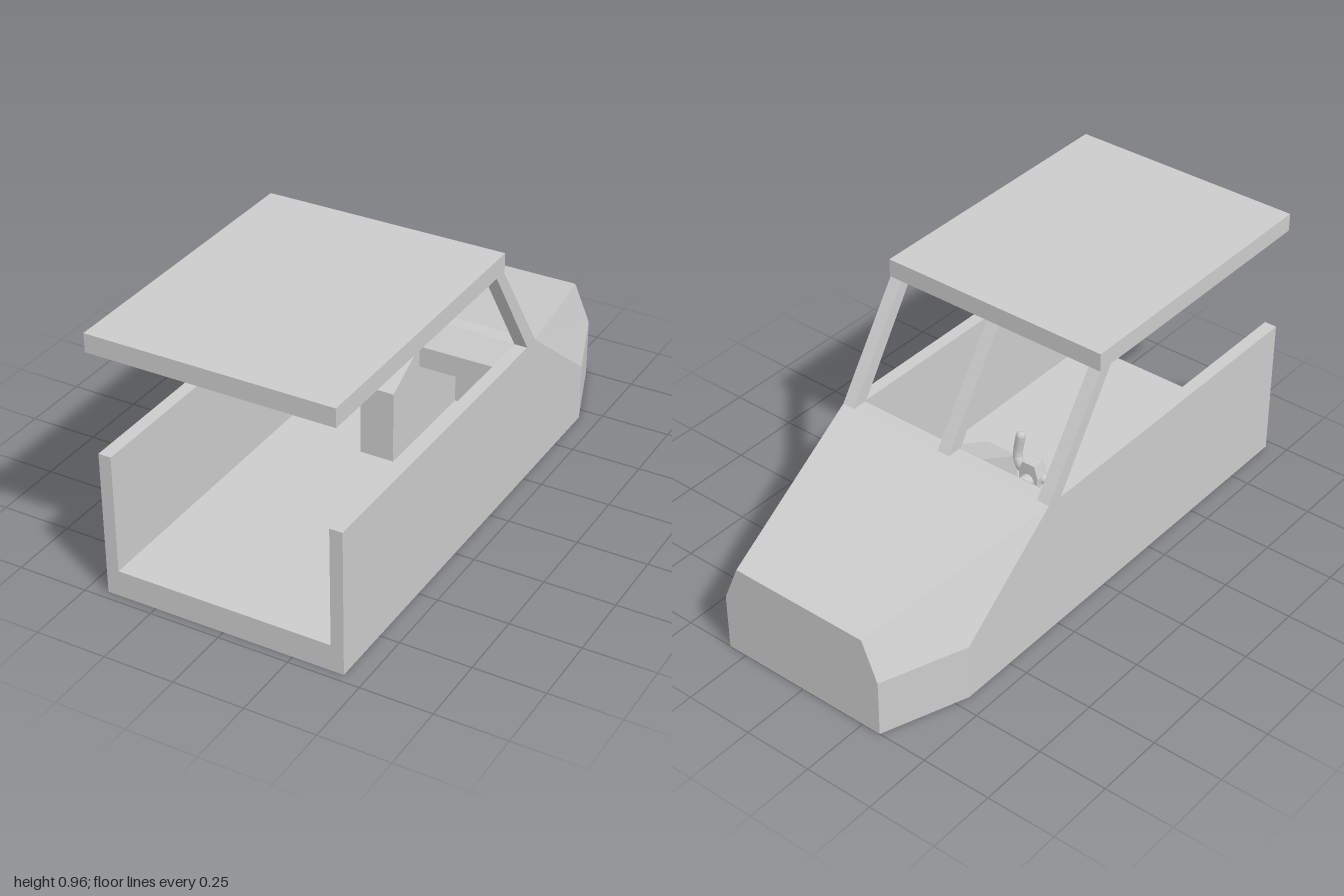
import * as THREE from 'three';

const grey = new THREE.MeshStandardMaterial({ color: 0xcccccc, flatShading: true });
const shellGrey = new THREE.MeshStandardMaterial({ color: 0xcccccc, flatShading: true, side: THREE.DoubleSide });
const smoothGrey = new THREE.MeshStandardMaterial({ color: 0xcccccc });

const W = 0.43;      // half width of the body
const IN = 0.385;    // half width between the side walls
const FLOOR = 0.095; // top of the floor
const RAIL = 0.52;   // top of the side walls

export function createModel() {
  const group = new THREE.Group();

  const add = (name, geometry, material = grey) => {
    const mesh = new THREE.Mesh(geometry, material);
    mesh.name = name;
    group.add(mesh);
    return mesh;
  };

  // Side profile of [z, y] points, extruded from x0 to x1
  const prism = (name, points, x0, x1) => {
    const shape = new THREE.Shape(points.map(([z, y]) => new THREE.Vector2(z, y)));
    const geo = new THREE.ExtrudeGeometry(shape, { depth: x1 - x0, bevelEnabled: false });
    geo.rotateY(-Math.PI / 2).translate(x1, 0, 0);
    return add(name, geo);
  };

  // Flat convex panel through the given corners
  const panel = (name, corners) => {
    const index = [];
    for (let i = 1; i < corners.length - 1; i++) index.push(0, i, i + 1);
    const geo = new THREE.BufferGeometry();
    geo.setAttribute('position', new THREE.Float32BufferAttribute(corners.flat(), 3));
    geo.setIndex(index);
    geo.computeVertexNormals();
    return add(name, geo, shellGrey);
  };

  // Floor slab, tapered at the nose
  const plan = new THREE.Shape([[-W, -0.97], [W, -0.97], [W, 0.7], [0.32, 1], [-0.32, 1], [-W, 0.7]]
    .map(([x, y]) => new THREE.Vector2(x, y)));
  const floor = new THREE.ExtrudeGeometry(plan, { depth: FLOOR, bevelEnabled: false });
  add('floor', floor.rotateX(-Math.PI / 2));

  // Side walls
  const wall = [[0.97, FLOOR], [0.97, RAIL], [-0.305, RAIL], [-0.7, 0.21], [-0.7, FLOOR]];
  prism('leftWall', wall, IN, W);
  prism('rightWall', wall, -W, -IN);

  // Nose: sloping hood, bevelled cheeks and blunt end
  const A = [W, RAIL, -0.305], B = [W, 0.21, -0.7], B0 = [W, FLOOR, -0.7];
  const C = [0.32, 0.21, -1], C0 = [0.32, FLOOR, -1], D = [0.26, 0.352, -1];
  const flip = ([x, y, z]) => [-x, y, z];
  panel('hood', [A, D, flip(D), flip(A)]);
  panel('noseEnd', [C0, flip(C0), flip(C), flip(D), D, C]);
  panel('leftUpperCheek', [A, B, C, D]);
  panel('leftLowerCheek', [B, B0, C0, C]);
  panel('rightUpperCheek', [A, D, C, B].map(flip));
  panel('rightLowerCheek', [B, C, C0, B0].map(flip));

  // Dashboard with footwell beneath
  prism('dashboard', [[-0.305, RAIL], [-0.25, RAIL], [-0.18, 0.453], [-0.18, 0.375],
    [-0.45, 0.235], [-0.45, FLOOR], [-0.5, FLOOR], [-0.5, 0.45]], -IN, IN);

  // Centre console rising from the floor to the dashboard
  prism('console', [[0, FLOOR], [0, 0.36], [-0.18, 0.453], [-0.2, 0.453], [-0.46, 0.3], [-0.46, FLOOR]],
    -0.063, 0.063);

  // Roof and its three raked pillars
  const roof = add('roof', new THREE.BoxGeometry(2 * W, 0.065, 1.055));
  roof.position.set(0, 0.9275, 0.4725);
  const rake = [[0, 0.895], [-0.05, 0.895], [-0.305, RAIL], [-0.245, RAIL]];
  prism('leftPillar', rake, 0.383, W);
  prism('centrePillar', rake, -0.024, 0.024);
  prism('rightPillar', rake, -W, -0.383);

  // Steering yoke on the right-hand side
  const yoke = new THREE.Group();
  yoke.name = 'steeringYoke';
  yoke.position.set(-0.222, 0, 0);
  group.add(yoke);

  const hubShape = new THREE.Shape([[-0.037, 0.412], [0.037, 0.412], [0.038, 0.445], [0.024, 0.488],
    [-0.024, 0.488], [-0.038, 0.445]].map(([x, y]) => new THREE.Vector2(x, y)));
  const hub = new THREE.Mesh(new THREE.ExtrudeGeometry(hubShape,
    { depth: 0.035, bevelEnabled: true, bevelSize: 0.003, bevelThickness: 0.006, bevelSegments: 1 }), grey);
  hub.name = 'yokeHub';
  hub.position.z = -0.14;
  yoke.add(hub);

  const column = new THREE.Mesh(new THREE.CylinderGeometry(0.022, 0.026, 0.09, 16), smoothGrey);
  column.name = 'steeringColumn';
  column.rotation.x = Math.PI / 2;
  column.position.set(0, 0.424, -0.15);
  yoke.add(column);

  for (const side of [-1, 1]) {
    const path = new THREE.CatmullRomCurve3([[0.02, 0.433, -0.122], [0.06, 0.428, -0.105],
      [0.088, 0.43, -0.085], [0.094, 0.452, -0.08], [0.085, 0.523, -0.078]]
      .map(([x, y, z]) => new THREE.Vector3(side * x, y, z)));
    const arm = new THREE.Mesh(new THREE.TubeGeometry(path, 28, 0.0165, 12), smoothGrey);
    arm.name = 'yokeGrip';
    const tip = new THREE.Mesh(new THREE.SphereGeometry(0.0165, 12, 8), smoothGrey);
    tip.name = 'yokeGripTip';
    tip.position.copy(path.getPoint(1));
    yoke.add(arm, tip);
  }

  return group;
}
